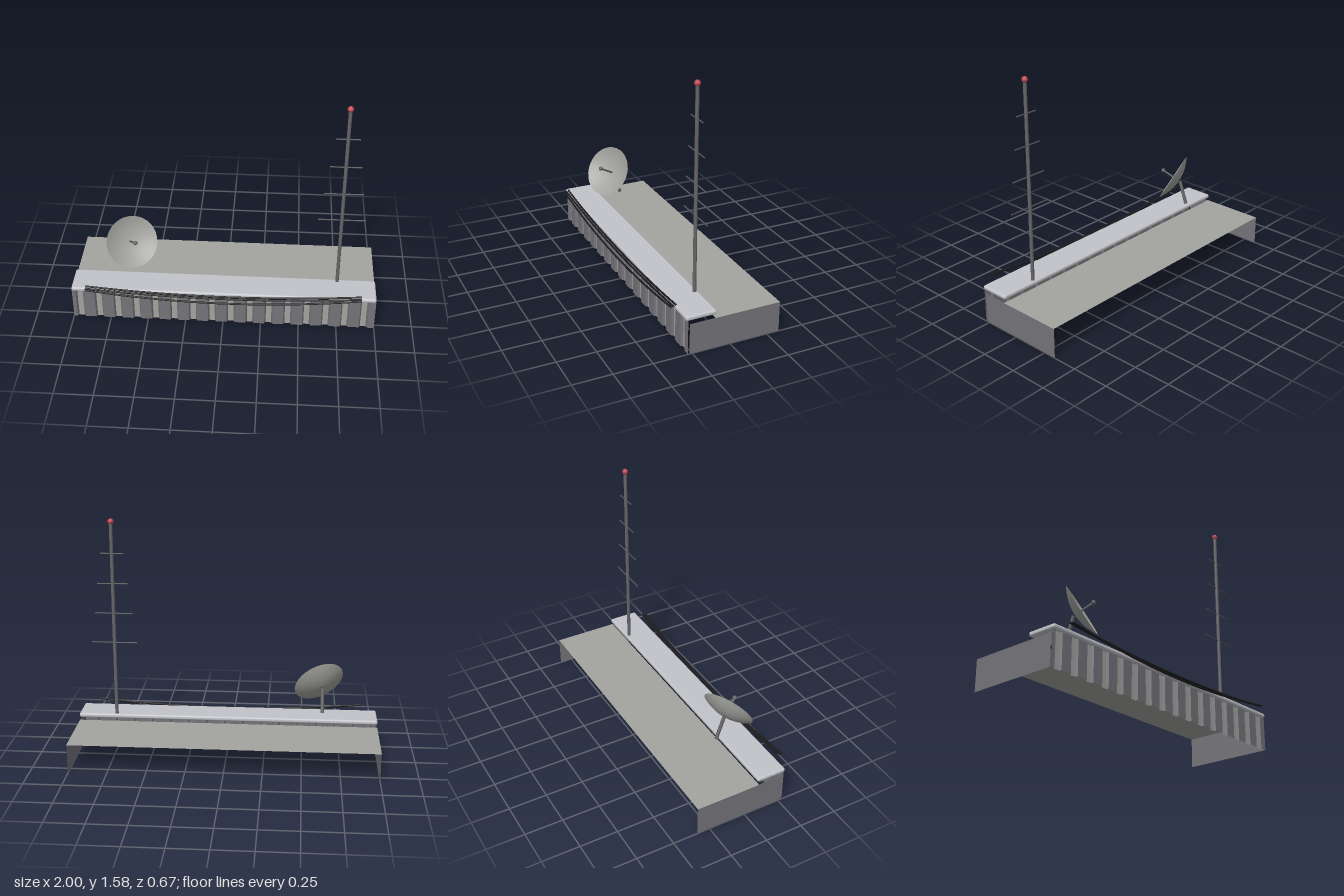
import * as THREE from 'three';
import { RoundedBoxGeometry } from 'three/addons/geometries/RoundedBoxGeometry.js';

const mat = (name, color, side = THREE.FrontSide) => {
  const m = new THREE.MeshStandardMaterial({ color, side });
  m.name = name;
  return m;
};

export function createModel() {
  const model = new THREE.Group();
  const dark = mat('dark sheet metal', 0x74747a, THREE.DoubleSide);
  const pale = mat('pale grey', 0xa3a39f, THREE.DoubleSide);
  const ledgeMat = mat('light concrete', 0xc2c4c9);
  const pole = mat('pole metal', 0x666669);
  const thin = mat('thin bar metal', 0x545458);
  const black = mat('black cable', 0x1c1c1e);
  const red = mat('red lamp', 0xc44a54);

  const add = (name, geo, material, x = 0, y = 0, z = 0, parent = model) => {
    const mesh = new THREE.Mesh(geo, material);
    mesh.name = name;
    mesh.position.set(x, y, z);
    parent.add(mesh);
    return mesh;
  };
  // Round bar between two points
  const bar = (name, a, b, r, material, parent = model) => {
    const mid = a.clone().add(b).multiplyScalar(0.5);
    const m = add(name, new THREE.CylinderGeometry(r, r, a.distanceTo(b), 10), material, mid.x, mid.y, mid.z, parent);
    m.quaternion.setFromUnitVectors(new THREE.Vector3(0, 1, 0), b.clone().sub(a).normalize());
  };
  const V = (x, y, z) => new THREE.Vector3(x, y, z);

  // Roof sheet and the two end walls, open at the back and below
  add('roof', new THREE.PlaneGeometry(2, 0.435).rotateX(-Math.PI / 2), pale, 0, 0.2, -0.1175);
  for (const s of [-1, 1]) {
    add(s < 0 ? 'rightWall' : 'leftWall', new THREE.PlaneGeometry(0.602, 0.2).rotateY(s * Math.PI / 2), dark, s * 0.998, 0.1, -0.034);
  }

  // Corrugated front wall: a trapezoid wave drawn up from the ground
  const period = 0.125, low = 0.263, high = 0.278, wallTop = 0.222;
  const wave = [[0, high], [0.2, high], [0.27, low], [0.56, low], [0.63, high]];
  const profile = [];
  for (let i = 0; i < 16; i++) {
    for (const [t, z] of wave) profile.push([-1 + (i + t) * period, z]);
  }
  profile.push([1, high]);
  const pos = [];
  for (let i = 0; i < profile.length - 1; i++) {
    const [x0, z0] = profile[i], [x1, z1] = profile[i + 1];
    pos.push(x0, 0, z0, x1, 0, z1, x1, wallTop, z1, x0, 0, z0, x1, wallTop, z1, x0, wallTop, z0);
  }
  const sheet = new THREE.BufferGeometry();
  sheet.setAttribute('position', new THREE.Float32BufferAttribute(pos, 3));
  sheet.computeVertexNormals();
  add('corrugatedFront', sheet, dark);

  // Pale strips in the grooves
  for (let i = 0; i < 16; i++) {
    add('grooveStrip', new THREE.PlaneGeometry(0.036, wallTop), pale, -1 + (i + 0.415) * period, wallTop / 2, low + 0.0015);
  }

  // Ledge with rounded edges
  add('ledge', new RoundedBoxGeometry(2, 0.03, 0.2, 3, 0.012), ledgeMat, 0, 0.236, 0.19);

  // Three sagging cables
  for (const [z, end, middle] of [[0.333, 0.272, 0.206], [0.319, 0.274, 0.232], [0.304, 0.281, 0.237]]) {
    const points = [];
    for (let i = 0; i <= 16; i++) {
      const t = i / 8 - 1;
      points.push(V(t * 0.9, middle + (end - middle) * t * t, z));
    }
    add('cable', new THREE.TubeGeometry(new THREE.CatmullRomCurve3(points), 40, 0.006, 8), black);
  }

  // Antenna mast with shrinking crossbars and a lamp
  const antenna = new THREE.Group();
  antenna.name = 'antenna';
  antenna.position.set(0.747, 0, 0.112);
  model.add(antenna);
  bar('mast', V(0, 0.25, 0), V(0, 1.56, 0), 0.0115, pole, antenna);
  for (let i = 0; i < 4; i++) {
    const half = 0.15 - i * 0.025, y = 0.752 + i * 0.2;
    bar('crossbar', V(-half, y, 0), V(half, y, 0), 0.0045, thin, antenna);
  }
  add('lamp', new THREE.SphereGeometry(0.019, 16, 12), red, 0, 1.561, 0, antenna);

  // Tilted dish with its feed arm and strut
  const dish = new THREE.Group();
  dish.name = 'dish';
  model.add(dish);
  const axis = V(0.38, 0.5, 0.78).normalize();
  const hub = V(-0.624, 0.488, 0.073);
  const R = 0.171, depth = 0.05;
  const curve = [];
  for (let i = 0; i <= 6; i++) curve.push(new THREE.Vector2(R * i / 6, depth * (i / 6) ** 2));
  const bowl = add('bowl', new THREE.LatheGeometry(curve, 32), pale, hub.x, hub.y, hub.z, dish);
  bowl.quaternion.setFromUnitVectors(V(0, 1, 0), axis);
  const tip = hub.clone().addScaledVector(axis, 0.132);
  bar('feedArm', hub, tip, 0.0065, pole, dish);
  add('feed', new THREE.SphereGeometry(0.0145, 14, 10), pole, tip.x, tip.y, tip.z, dish);
  bar('strut', V(-0.63, 0.33, 0.013), V(-0.628, 0.482, 0.067), 0.0115, pole, dish);

  return model;
}
